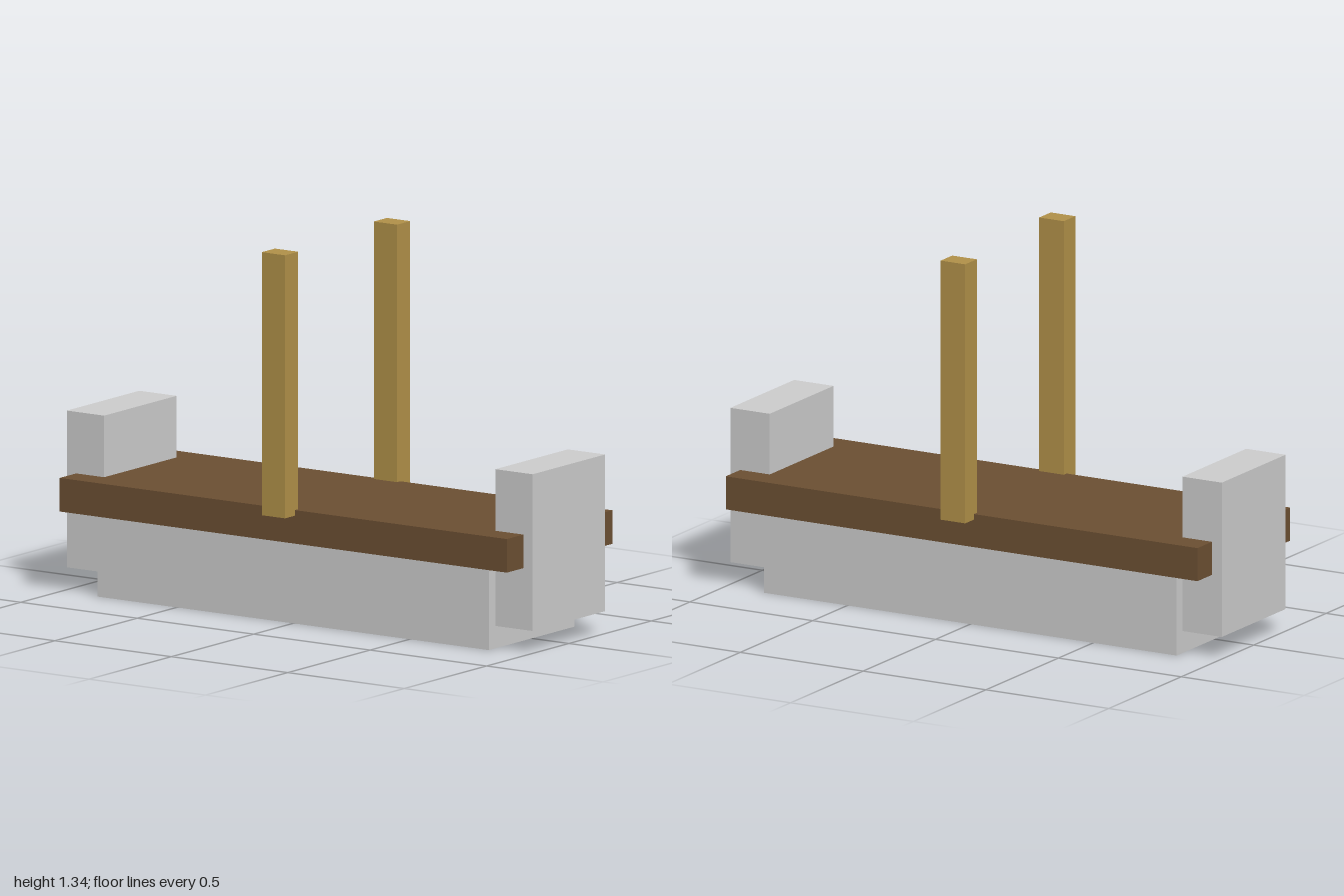
import * as THREE from 'three';

export function createModel() {
  const group = new THREE.Group();
  const stone = new THREE.MeshStandardMaterial({ color: 0xcccccc });
  const darkWood = new THREE.MeshStandardMaterial({ color: 0x6b4f32 });
  const paleWood = new THREE.MeshStandardMaterial({ color: 0xb09048 });

  // Box given by its size, its centre in x and z, and its bottom height
  function addBox(name, material, [w, h, d], x, bottom, z) {
    const mesh = new THREE.Mesh(new THREE.BoxGeometry(w, h, d), material);
    mesh.name = name;
    mesh.position.set(x, bottom + h / 2, z);
    group.add(mesh);
  }

  // Long body with the plank deck lying on it
  addBox('base', stone, [1.68, 0.3, 0.52], 0, 0, 0);
  addBox('deck', darkWood, [1.92, 0.12, 0.64], 0, 0.3, 0);

  // Mirrored pairs: end blocks left and right, posts front and back
  for (const side of [1, -1]) {
    addBox(side > 0 ? 'leftEndBlock' : 'rightEndBlock', stone, [0.16, 0.56, 0.44], side * 0.92, 0.08, 0);
    addBox(side > 0 ? 'frontPost' : 'backPost', paleWood, [0.1, 0.94, 0.08], 0, 0.4, side * 0.34);
  }

  return group;
}
